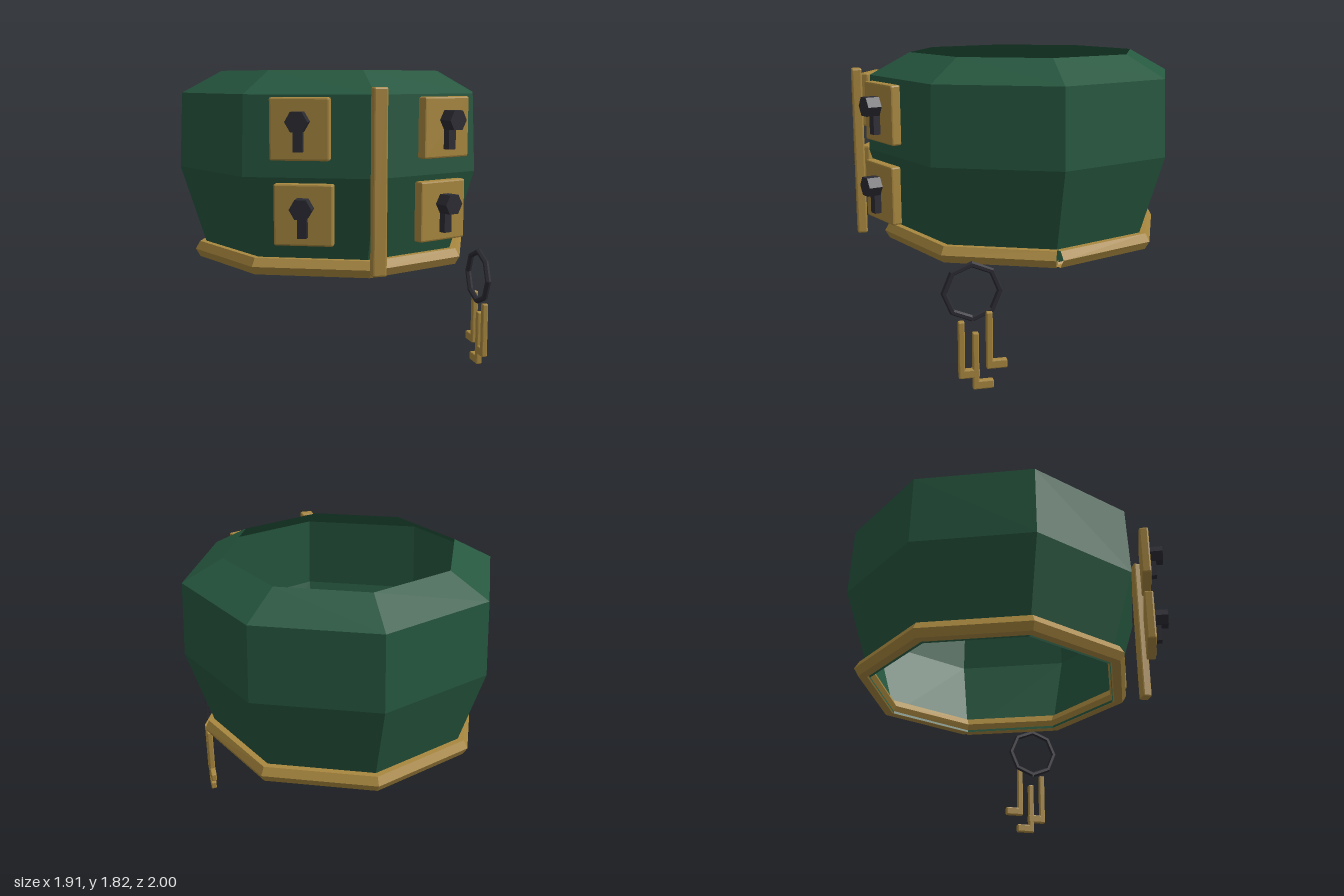
import * as THREE from 'three';
import { RoundedBoxGeometry } from 'three/addons/geometries/RoundedBoxGeometry.js';

const flat = (name, color, extra = {}) =>
  new THREE.MeshStandardMaterial({ name, color, flatShading: true, ...extra });

// Eight-sided hoop whose ends are cut square, leaving a small notch at the seam
function hoop(R, r) {
  const g = new THREE.TorusGeometry(R, r, 6, 8);
  const p = g.attributes.position;
  const a = Math.PI / 8;
  for (let j = 0; j <= 6; j++) {
    const out = r * Math.cos((j / 6) * Math.PI * 2);
    for (const [i, s] of [[0, 1], [8, -1]]) {
      p.setXY(j * 9 + i, R + out * Math.cos(a), s * out * Math.sin(a));
    }
  }
  return g;
}

export function createModel() {
  const green = flat('green enamel', 0x26573f, { side: THREE.DoubleSide });
  const brass = flat('brass', 0xa8873f, { side: THREE.DoubleSide });
  const iron = flat('dark iron', 0x2b2b33, { side: THREE.DoubleSide });

  const model = new THREE.Group();
  model.name = 'lockedCollar';
  const add = (parent, name, geometry, material, x = 0, y = 0, z = 0) => {
    const mesh = new THREE.Mesh(geometry, material);
    mesh.name = name;
    mesh.position.set(x, y, z);
    parent.add(mesh);
    return mesh;
  };
  const block = (w, h, d, bevel = 0.01) => new RoundedBoxGeometry(w, h, d, 1, bevel);

  // Open octagonal shell and its bottom rim
  const cz = -0.045;
  const profile = [[0.78, 0.675], [0.956, 1.24], [0.936, 1.685], [0.696, 1.815]]
    .map(([r, y]) => new THREE.Vector2(r, y));
  add(model, 'shell', new THREE.LatheGeometry(profile, 8), green, 0, 0, cz);
  add(model, 'bottomRim', hoop(0.822, 0.055).rotateX(Math.PI / 2), brass, 0, 0.726, cz);

  // Upright bar at the front seam
  add(model, 'frontBar', block(0.08, 1.0, 0.06), brass, 0, 1.226, 0.97);

  // Two lock plates on each side of the bar
  for (const side of [1, -1]) {
    for (const [x, y, z] of [[0.398, 1.508, 0.854], [0.38, 1.056, 0.862]]) {
      const lock = new THREE.Group();
      lock.name = side > 0 ? 'leftLock' : 'rightLock';
      lock.position.set(side * x, y, z);
      lock.rotation.y = side * Math.PI / 8;
      add(lock, 'lockPlate', block(0.32, 0.33, 0.06), brass);
      const hex = new THREE.CylinderGeometry(0.06, 0.06, 0.08, 6)
        .rotateY(Math.PI / 6).rotateX(Math.PI / 2);
      add(lock, 'keyholeHead', hex, iron, 0, 0.041, 0.075);
      add(lock, 'keyholeSlot', new THREE.BoxGeometry(0.05, 0.14, 0.04), iron, 0, -0.047, 0.05);
      model.add(lock);
    }
  }

  // Key ring hanging at the left side
  const ring = hoop(0.156, 0.018).rotateZ(-Math.PI / 2).rotateY(Math.PI / 2);
  add(model, 'keyRing', ring, iron, 0.802, 0.565, 0.433);

  // Three L-shaped keys, each placed by its bottom end
  for (const [y, z] of [[0.07, 0.5], [0, 0.421], [0.115, 0.343]]) {
    const key = new THREE.Group();
    key.name = 'key';
    key.position.set(0.823, y, z);
    add(key, 'keyShaft', block(0.036, 0.335, 0.036, 0.007), brass, 0, 0.1675, 0);
    add(key, 'keyBit', block(0.036, 0.052, 0.118, 0.007), brass, 0, 0.026, -0.041);
    model.add(key);
  }
  return model;
}
